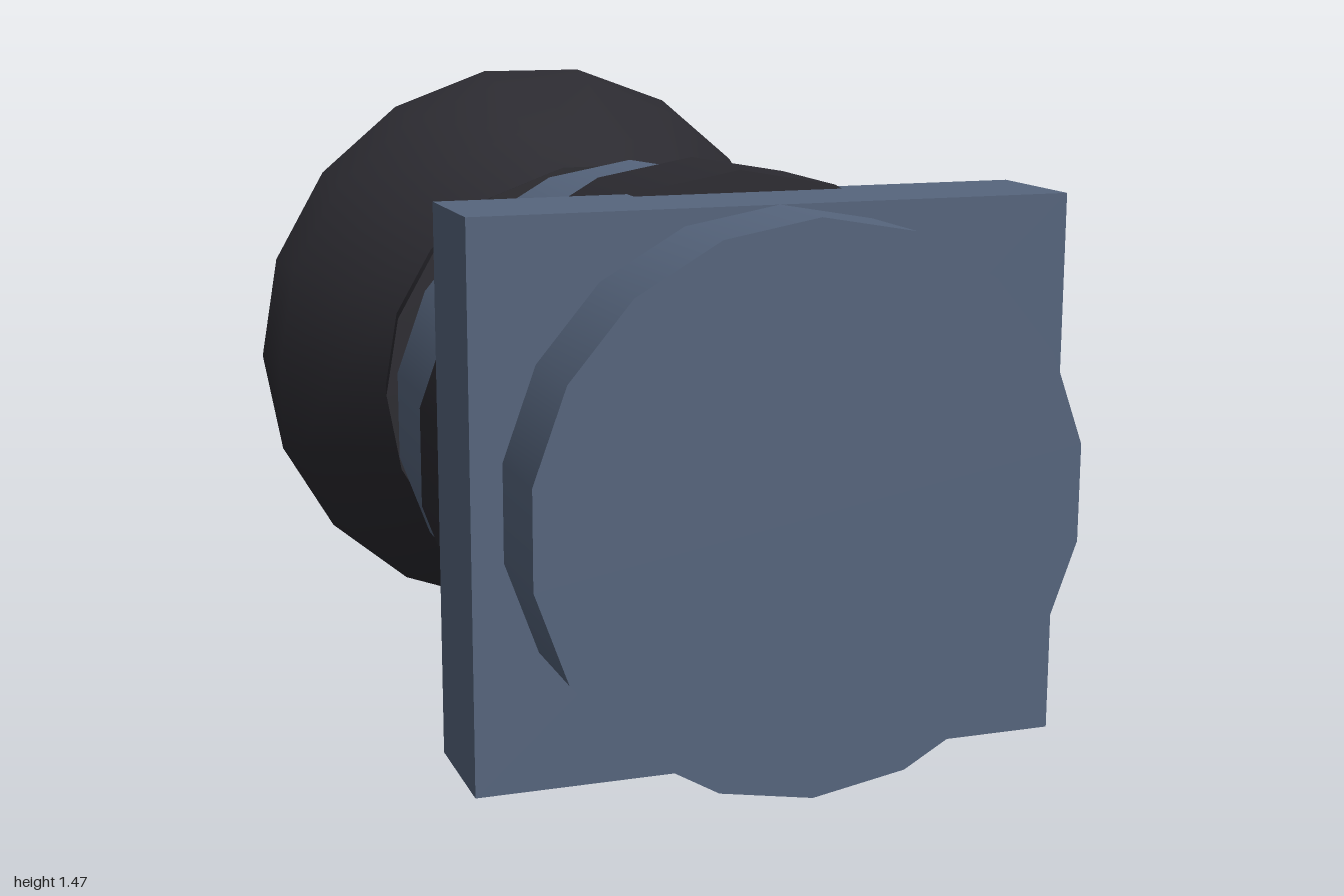
import * as THREE from 'three';

const SIDES = 18;
const AXIS_Y = 0.739;

export function createModel() {
  const slate = new THREE.MeshStandardMaterial({ color: 0x56657d });
  slate.name = 'slate blue';
  const rubber = new THREE.MeshStandardMaterial({ color: 0x2b2a30 });
  rubber.name = 'black rubber';
  const glass = new THREE.MeshStandardMaterial({ color: 0x5ea7b1 });
  glass.name = 'teal glass';

  const model = new THREE.Group();
  model.name = 'eyepiece';

  const add = (parent, name, geometry, material) => {
    const mesh = new THREE.Mesh(geometry, material);
    mesh.name = name;
    parent.add(mesh);
    return mesh;
  };

  // Cylinder along z between two depths
  const barrel = (parent, name, radius, z0, z1, material, turn = 0) => {
    const g = new THREE.CylinderGeometry(radius, radius, z1 - z0, SIDES, 1, false, turn);
    g.rotateX(Math.PI / 2);
    g.translate(0, AXIS_Y, (z0 + z1) / 2);
    return add(parent, name, g, material);
  };

  // Main tube, grip ring and square mounting plate
  barrel(model, 'tube', 0.574, -0.15, 1, slate);
  barrel(model, 'gripRing', 0.62, 0.28, 0.57, rubber);
  const plate = add(model, 'mountingPlate', new THREE.BoxGeometry(1.26, 1.148, 0.265), slate);
  plate.position.set(0, AXIS_Y, 0.6575);

  // Eyecup: a closed shell, one lathe per section so its edges stay sharp
  const eyecup = new THREE.Group();
  eyecup.name = 'eyecup';
  model.add(eyecup);
  const turn = Math.PI / SIDES;
  const sections = {
    outerFlare: [[0.747, -1], [0.718, -0.89], [0.61, -0.7], [0.519, -0.51]],
    collar: [[0.519, -0.51], [0.545, -0.38]],
    frontLip: [[0.545, -0.38], [0.46, -0.38]],
    bore: [[0.46, -0.38], [0.46, -0.6]],
    innerFlare: [[0.46, -0.6], [0.56, -0.72], [0.67, -0.9], [0.7, -1]],
    rearRim: [[0.7, -1], [0.747, -1]],
  };
  for (const [name, points] of Object.entries(sections)) {
    const profile = points.map(([r, z]) => new THREE.Vector2(r, z));
    const g = new THREE.LatheGeometry(profile, SIDES, turn);
    g.rotateX(Math.PI / 2);
    g.translate(0, AXIS_Y, 0);
    add(eyecup, name, g, rubber);
  }

  // Lens filling the bore
  barrel(eyecup, 'lens', 0.46, -0.6, -0.41, glass, turn);

  return model;
}
